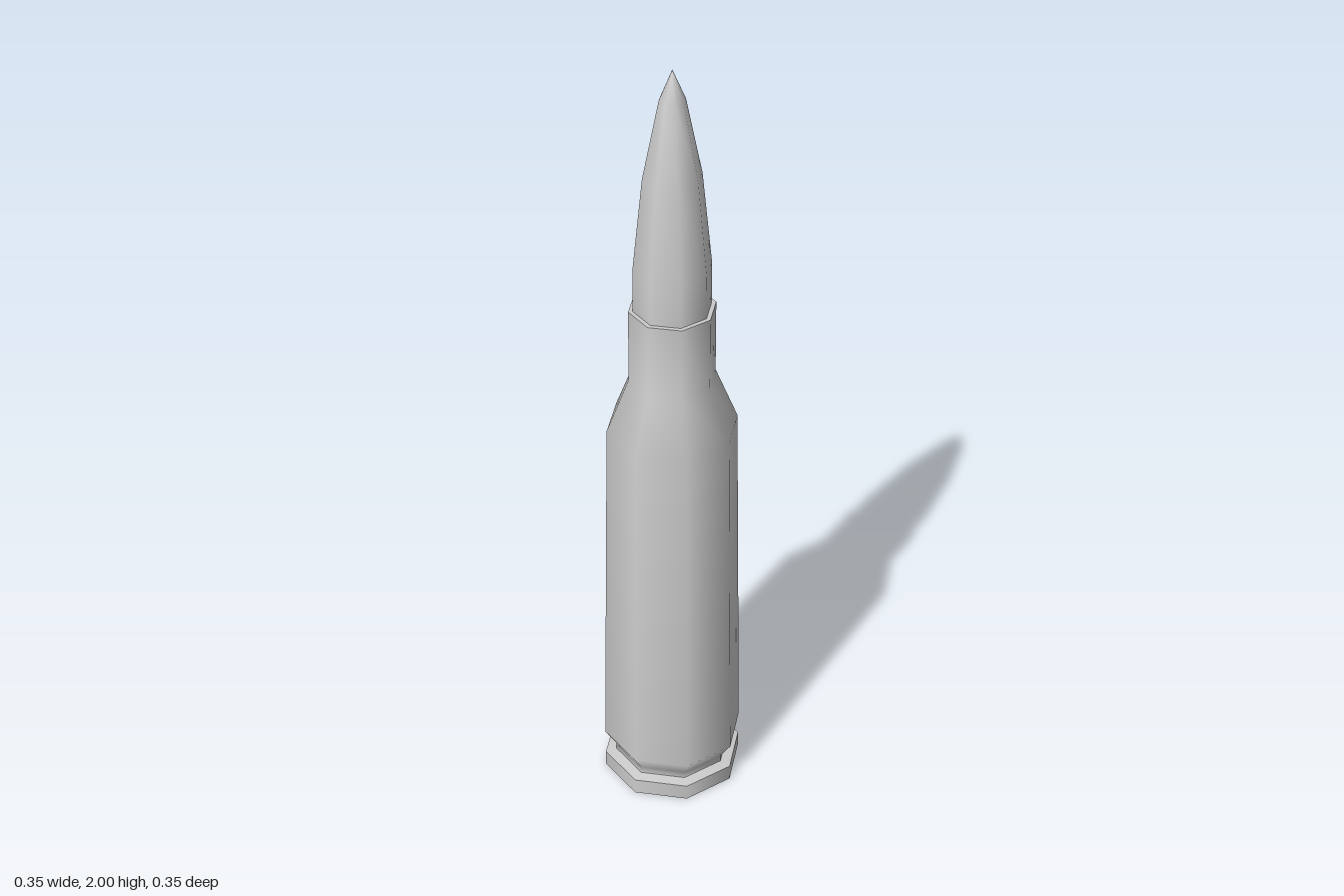
import * as THREE from 'three';

const SIDES = 8;
const material = new THREE.MeshStandardMaterial({ color: 0xcccccc });

// Turns a bottom-to-top [radius, height] profile; corners inside one profile are smooth
function turned(name, profile) {
  const points = profile.map(([r, y]) => new THREE.Vector2(r, y));
  const mesh = new THREE.Mesh(new THREE.LatheGeometry(points, SIDES), material);
  mesh.name = name;
  return mesh;
}

export function createModel() {
  const model = new THREE.Group();
  model.name = 'cartridge';

  // Case: flat base, rim, extractor groove, tapered body, shoulder and neck
  const cartridgeCase = new THREE.Group();
  cartridgeCase.name = 'case';
  cartridgeCase.add(
    turned('base', [[0, 0], [0.175, 0]]),
    turned('rim', [[0.175, 0], [0.175, 0.042]]),
    turned('rimTop', [[0.175, 0.042], [0.147, 0.047]]),
    turned('body', [
      [0.147, 0.047], [0.147, 0.065], [0.176, 0.11],
      [0.16, 1.05], [0.105, 1.19], [0.105, 1.38],
    ]),
    turned('mouth', [[0.105, 1.38], [0.094, 1.38]]),
  );

  // Pointed projectile seated in the neck
  const projectile = turned('projectile', [
    [0.094, 1.37], [0.094, 1.49], [0.07, 1.73], [0.031, 1.925], [0, 2],
  ]);

  model.add(cartridgeCase, projectile);
  return model;
}
